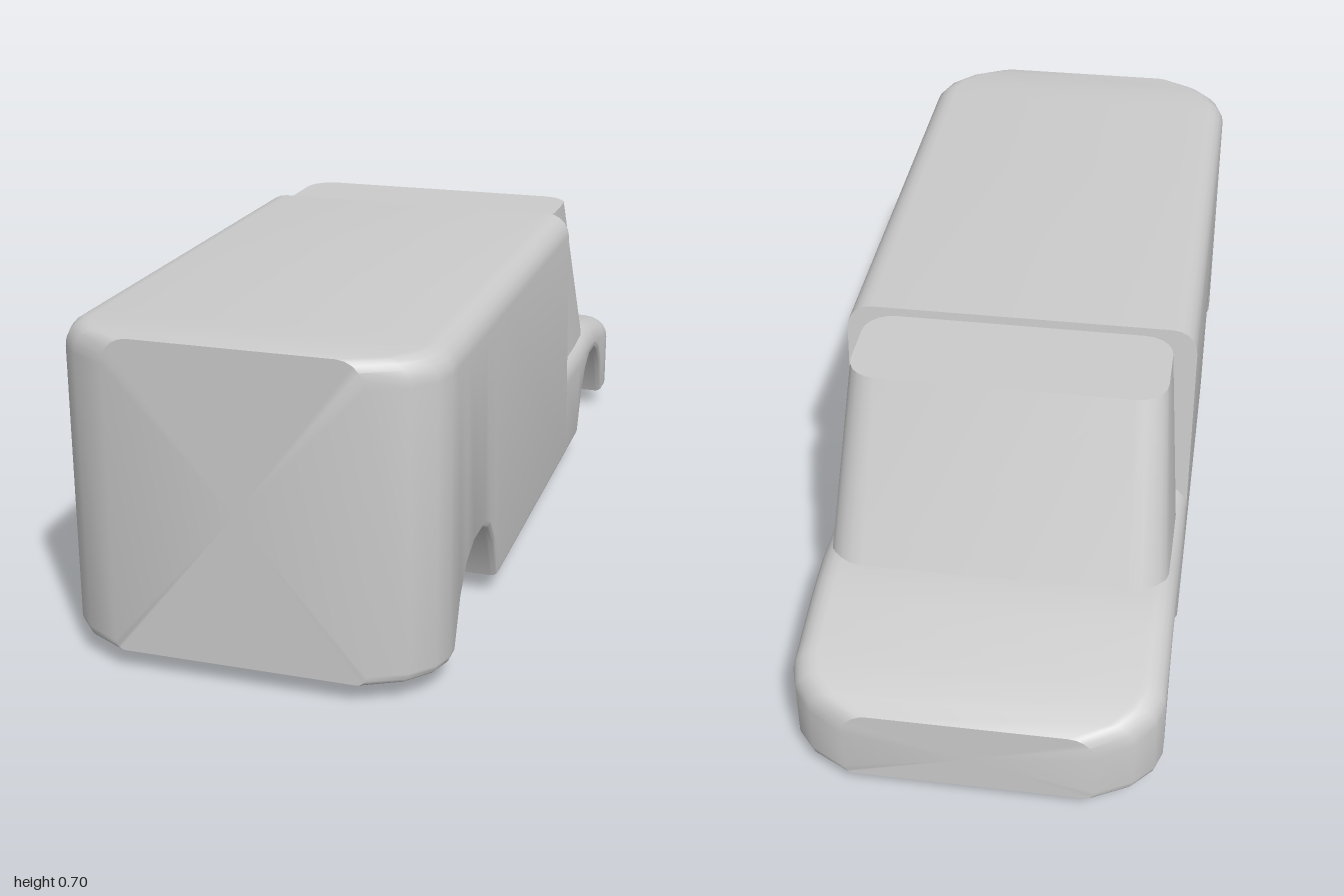
import * as THREE from 'three';
import { toCreasedNormals } from 'three/addons/utils/BufferGeometryUtils.js';

const material = new THREE.MeshStandardMaterial({ color: 0xcccccc });

// Rounded rectangle, counter-clockwise, with separate lower and upper corner radii
function roundRect(halfWidth, low, high, rLow, rHigh, steps = 5) {
  const corners = [[1, low + rLow, rLow], [1, high - rHigh, rHigh], [-1, high - rHigh, rHigh], [-1, low + rLow, rLow]];
  const points = [];
  corners.forEach(([side, cy, r], k) => {
    for (let i = 0; i <= steps; i++) {
      const a = (k - 1 + i / steps) * Math.PI / 2;
      points.push([side * (halfWidth - r) + r * Math.cos(a), cy + r * Math.sin(a)]);
    }
  });
  return points;
}

// Skin a list of equal-length rings and close both ends
function loft(rings, crease) {
  const pos = [];
  const tri = (a, b, c) => {
    const area = b.clone().sub(a).cross(c.clone().sub(a)).length();
    if (area > 1e-8) for (const p of [a, b, c]) pos.push(p.x, p.y, p.z);
  };
  const n = rings[0].length;
  for (let i = 0; i < rings.length - 1; i++) {
    for (let j = 0; j < n; j++) {
      const k = (j + 1) % n;
      const a = rings[i][j], b = rings[i][k], c = rings[i + 1][k], d = rings[i + 1][j];
      tri(a, d, b);
      tri(b, d, c);
    }
  }
  const cap = (ring, flip) => {
    const mid = ring.reduce((s, p) => s.add(p), new THREE.Vector3()).divideScalar(n);
    ring.forEach((p, j) => {
      const q = ring[(j + 1) % n];
      flip ? tri(mid, q, p) : tri(mid, p, q);
    });
  };
  cap(rings[0], false);
  cap(rings[rings.length - 1], true);
  const geometry = new THREE.BufferGeometry();
  geometry.setAttribute('position', new THREE.Float32BufferAttribute(pos, 3));
  return toCreasedNormals(geometry, crease);
}

// Linear lookup in a list of [key, value] pairs with rising keys
function lookup(table, x) {
  for (let i = 1; i < table.length; i++) {
    const [x0, y0] = table[i - 1], [x1, y1] = table[i];
    if (x <= x1) return y0 + (y1 - y0) * Math.max(0, (x - x0) / (x1 - x0));
  }
  return table[table.length - 1][1];
}

const FLOOR = 0.045, ROOF = 0.705;
const hood = [[-1, 0.22], [-0.9, 0.247], [-0.8, 0.272], [-0.7, 0.295], [-0.64, 0.306], [-0.58, 0.308], [-0.5, 0.3]];
const plan = [[0.87, 0.395], [0.915, 0.38], [0.96, 0.34], [1, 0.263]];
const arch = [[-0.19, FLOOR], [-0.15, 0.14], [-0.1, 0.195], [-0.04, 0.22], [0.04, 0.22], [0.1, 0.195], [0.15, 0.14], [0.19, FLOOR]];

// Slanted front wall of the cargo box
const wallZ = (y) => -0.23 - 0.111 * (ROOF - y);

function bodyGeometry() {
  const ring = (z, low, high) =>
    roundRect(lookup(plan, Math.abs(z)), low, high, 0.02, 0.055)
      .map(([x, y]) => new THREE.Vector3(x, y, typeof z === 'function' ? z(y) : z));
  const slanted = (high) =>
    roundRect(0.395, FLOOR, high, 0.02, 0.055).map(([x, y]) => new THREE.Vector3(x, y, wallZ(y)));
  const ends = plan.map(([z]) => [z, FLOOR]);
  const wheel = arch.map(([dz, y]) => [0.64 + dz, y]);
  const half = [...wheel, ...ends];
  const rear = [...half].reverse().map(([z, low]) => ring(z, low, ROOF));
  const nose = half.map(([z, low]) => ring(-z, low, lookup(hood, -z)));
  return loft([...rear, slanted(ROOF), slanted(0.3), ...nose], 0.55);
}

// Cab tapering towards its roof
function cabGeometry() {
  const ring = (y, halfWidth, zFront, zBack, r) =>
    roundRect(halfWidth, -zBack, -zFront, r, r).map(([x, v]) => new THREE.Vector3(x, y, -v));
  return loft([ring(0.69, 0.345, -0.475, -0.238, 0.065), ring(0.28, 0.375, -0.652, -0.283, 0.08)], 0.55);
}

export function createModel() {
  const group = new THREE.Group();
  const add = (name, geometry) => {
    const mesh = new THREE.Mesh(geometry, material);
    mesh.name = name;
    group.add(mesh);
    return mesh;
  };
  add('vanBody', bodyGeometry());
  add('cab', cabGeometry());

  // Roller showing through the floor
  const roller = new THREE.CylinderGeometry(0.18, 0.18, 0.42, 24);
  roller.rotateZ(Math.PI / 2);
  add('underbodyRoller', toCreasedNormals(roller, 0.5)).position.y = 0.18;
  return group;
}
